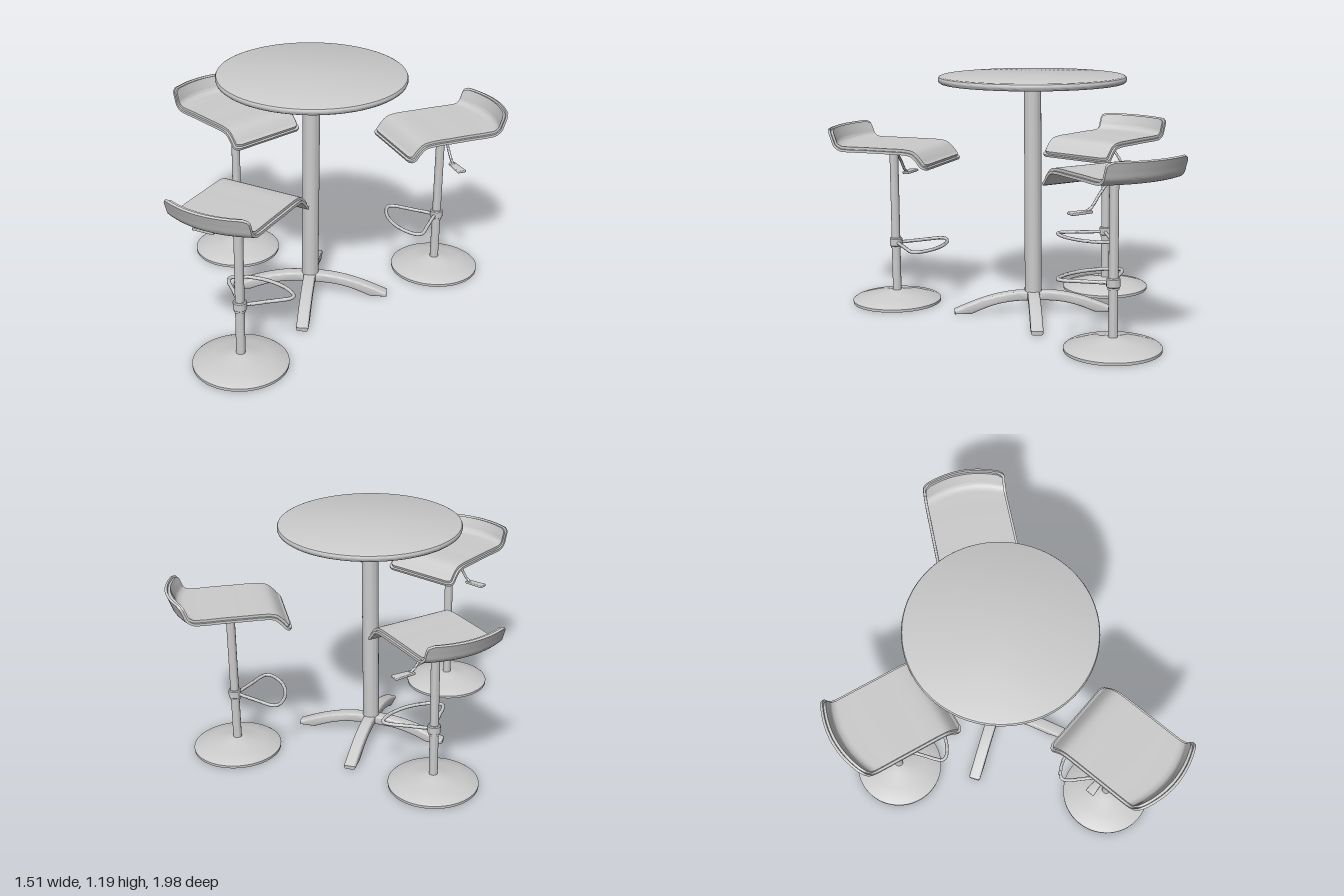
import * as THREE from 'three';
import { toCreasedNormals } from 'three/addons/utils/BufferGeometryUtils.js';
import { RoundedBoxGeometry } from 'three/addons/geometries/RoundedBoxGeometry.js';

const material = new THREE.MeshStandardMaterial({ color: 0xcccccc });

function part(name, geometry, parent, crease = 0.6) {
  const mesh = new THREE.Mesh(toCreasedNormals(geometry, crease), material);
  mesh.name = name;
  parent.add(mesh);
  return mesh;
}

// Turned part from [radius, height] pairs, listed from the bottom up
function turned(name, pairs, parent, sides = 40) {
  return part(name, new THREE.LatheGeometry(pairs.map(p => new THREE.Vector2(...p)), sides), parent);
}

// Underside of the seat, from the drooping front edge to the top of the low back
const seatCurve = new THREE.CatmullRomCurve3([
  [-0.278, 0.732], [-0.25, 0.743], [-0.225, 0.772], [-0.198, 0.796], [-0.16, 0.803], [-0.05, 0.804],
  [0.08, 0.804], [0.19, 0.803], [0.245, 0.807], [0.277, 0.828], [0.293, 0.866], [0.309, 0.909],
].map(([x, y]) => new THREE.Vector3(x, y, 0)));

// Bent sheet following the seat curve between two heights above it
function bentSheet(low, high, halfWidth, start, end) {
  const geometry = new THREE.BoxGeometry(1, 1, 1, 72, 1, 16);
  const pos = geometry.attributes.position;
  const length = seatCurve.getLength(), corner = 0.025;
  for (let i = 0; i < pos.count; i++) {
    const f = pos.getX(i) + 0.5;
    const s = start + (end - start) * f;
    const point = seatCurve.getPointAt(s), tangent = seatCurve.getTangentAt(s);
    const lift = pos.getY(i) < 0 ? low : high;
    // rounded corners at both ends
    const edge = Math.min(f, 1 - f) * (end - start) * length;
    const d = Math.max(0, corner - edge) / corner;
    const z = pos.getZ(i) * 2 * (halfWidth - corner * (1 - Math.sqrt(1 - d * d)));
    // the back wraps round the sitter
    const wrap = THREE.MathUtils.smoothstep(point.x, 0.0, 0.26);
    const bow = 0.052 * wrap * (z / 0.212) ** 2;
    pos.setXYZ(i, point.x - tangent.y * lift - bow, point.y + tangent.x * lift, z);
  }
  return geometry;
}

// Stool with its back towards local +x
function makeStool(name, x, z, outwardDegrees) {
  const stool = new THREE.Group();
  stool.name = name;
  stool.position.set(x, 0, z);
  stool.rotation.y = -THREE.MathUtils.degToRad(outwardDegrees);

  turned('base', [[0, 0], [0.225, 0], [0.226, 0.014], [0.218, 0.02], [0.14, 0.037],
    [0.06, 0.054], [0.032, 0.062], [0, 0.062]], stool, 56);
  turned('pole', [[0.022, 0.055], [0.022, 0.785]], stool, 28);
  turned('footrestCollar', [[0.022, 0.283], [0.027, 0.283], [0.027, 0.293], [0.032, 0.297],
    [0.032, 0.332], [0.028, 0.337], [0.022, 0.337]], stool, 28);
  turned('seatMount', [[0, 0.778], [0.035, 0.778], [0.06, 0.786], [0.086, 0.798], [0.086, 0.806], [0, 0.806]], stool);

  part('seatShell', bentSheet(0, 0.013, 0.212, 0, 1), stool);
  part('seatPad', bentSheet(0.01, 0.026, 0.2, 0.015, 0.985), stool);

  // Footrest: two arms fan out to a bowed front bar
  const loop = new THREE.CatmullRomCurve3([
    [-0.02, -0.015], [-0.1, -0.098], [-0.165, -0.165], [-0.19, -0.173], [-0.213, -0.155], [-0.245, -0.09],
    [-0.258, 0],
    [-0.245, 0.09], [-0.213, 0.155], [-0.19, 0.173], [-0.165, 0.165], [-0.1, 0.098], [-0.02, 0.015],
  ].map(([px, pz]) => new THREE.Vector3(px, 0.311, pz)));
  part('footrest', new THREE.TubeGeometry(loop, 72, 0.009, 10), stool, 1);

  // Height lever
  const rod = new THREE.CatmullRomCurve3([
    new THREE.Vector3(0, 0.788, 0.02), new THREE.Vector3(0, 0.73, 0.075),
    new THREE.Vector3(0, 0.672, 0.12), new THREE.Vector3(0, 0.657, 0.145),
  ]);
  part('leverRod', new THREE.TubeGeometry(rod, 20, 0.007, 10), stool, 1);
  const paddle = new RoundedBoxGeometry(0.05, 0.013, 0.112, 2, 0.005);
  const pos = paddle.attributes.position;
  for (let i = 0; i < pos.count; i++) pos.setX(i, pos.getX(i) * (0.8 + 2.5 * pos.getZ(i)));
  part('leverPaddle', paddle, stool).position.set(0, 0.654, 0.178);
  return stool;
}

function makeTable() {
  const table = new THREE.Group();
  table.name = 'table';
  table.position.set(0.147, 0, 0.004);

  turned('tableTop', [[0, 1.156], [0.447, 1.156], [0.455, 1.162], [0.458, 1.17],
    [0.458, 1.178], [0.454, 1.186], [0.445, 1.19], [0, 1.19]], table, 96);
  turned('topFlange', [[0, 1.145], [0.06, 1.145], [0.06, 1.158], [0, 1.158]], table);
  turned('column', [[0, 0.07], [0.042, 0.07], [0.042, 1.15]], table, 40);

  // Four arched feet on the diagonals
  const side = new THREE.Shape();
  side.moveTo(0, 0.066);
  side.bezierCurveTo(0.14, 0.066, 0.2, 0.05, 0.31, 0);
  side.lineTo(0.394, 0);
  side.lineTo(0.396, 0.02);
  side.bezierCurveTo(0.3, 0.06, 0.2, 0.105, 0.06, 0.112);
  side.lineTo(0, 0.112);
  side.closePath();
  const foot = new THREE.ExtrudeGeometry(side, {
    depth: 0.04, curveSegments: 16, bevelSize: 0.01, bevelOffset: -0.01, bevelThickness: 0.01, bevelSegments: 3,
  });
  foot.translate(0, 0, -0.02);
  for (let i = 0; i < 4; i++) {
    part('tableFoot', foot, table).rotation.y = Math.PI / 4 + i * Math.PI / 2;
  }
  return table;
}

export function createModel() {
  const model = new THREE.Group();
  model.name = 'barTableWithStools';
  model.add(
    makeTable(),
    makeStool('rightStool', -0.455, 0.025, 177.7),
    makeStool('backStool', 0.36, -0.675, -73.3),
    makeStool('frontStool', 0.46, 0.675, 68.1),
  );
  return model;
}
